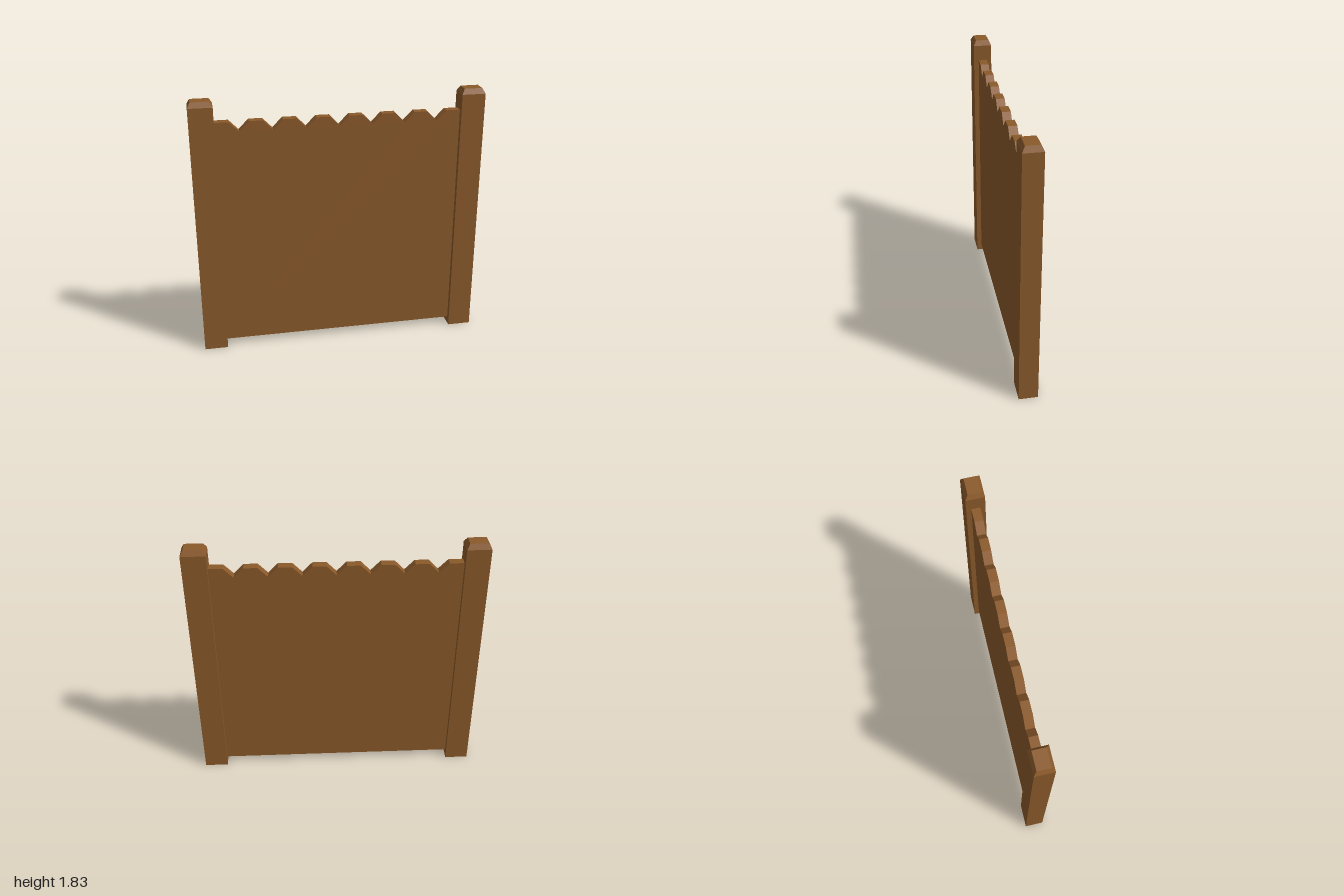
import * as THREE from 'three';

const wood = new THREE.MeshStandardMaterial({ color: 0x8b5a2b });
wood.name = 'brown wood';

// Post: a box whose top ring is pulled in to form a chamfered cap
function makePost(side) {
  const w = 0.164, d = 0.13, h = 1.828, shoulder = 1.792, inset = 0.02;
  const geo = new THREE.BoxGeometry(w, h, d, 1, 2, 1).toNonIndexed();
  geo.translate(0, h / 2, 0);
  const p = geo.attributes.position;
  for (let i = 0; i < p.count; i++) {
    const y = p.getY(i);
    if (y > h - 0.01) {
      p.setX(i, p.getX(i) - Math.sign(p.getX(i)) * inset);
      p.setZ(i, p.getZ(i) - Math.sign(p.getZ(i)) * inset);
    } else if (y > 0.01) {
      p.setY(i, shoulder);
    }
  }
  geo.computeVertexNormals();
  const post = new THREE.Mesh(geo, wood);
  post.name = side > 0 ? 'leftPost' : 'rightPost';
  post.position.x = side * (1 - w / 2);
  return post;
}

// Panel: an extruded sheet with seven V notches along the top edge
function makePanel() {
  const half = 0.836, bottom = 0.05, top = 1.68, notchY = 1.612;
  const notchHalf = 0.066, pitch = 0.2245, thick = 0.06;
  const shape = new THREE.Shape();
  shape.moveTo(-half, bottom);
  shape.lineTo(half, bottom);
  shape.lineTo(half, top);
  for (let i = 3; i >= -3; i--) {
    const x = i * pitch;
    shape.lineTo(x + notchHalf, top);
    shape.lineTo(x, notchY);
    shape.lineTo(x - notchHalf, top);
  }
  shape.lineTo(-half, top);
  shape.closePath();
  const geo = new THREE.ExtrudeGeometry(shape, { depth: thick, bevelEnabled: false });
  geo.translate(0, 0, -thick / 2);
  const panel = new THREE.Mesh(geo, wood);
  panel.name = 'notchedPanel';
  return panel;
}

export function createModel() {
  const fence = new THREE.Group();
  fence.name = 'fence';
  fence.add(makePanel(), makePost(1), makePost(-1));
  return fence;
}
